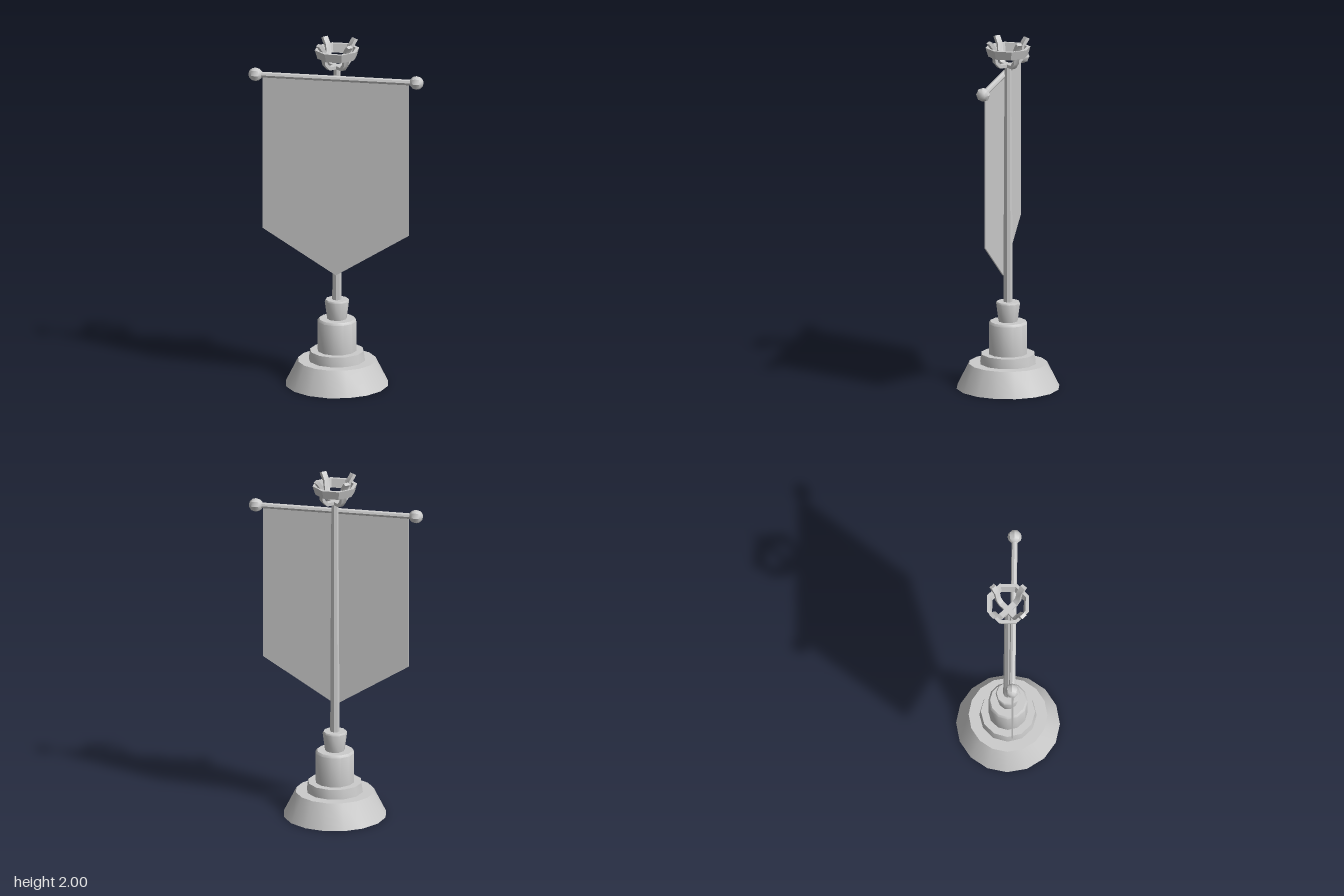
import * as THREE from 'three';
import { toCreasedNormals } from 'three/addons/utils/BufferGeometryUtils.js';

const material = new THREE.MeshStandardMaterial({ color: 0xcccccc, side: THREE.DoubleSide });

export function createModel() {
  const model = new THREE.Group();

  function add(name, geometry, x = 0, y = 0, z = 0, parent = model) {
    const mesh = new THREE.Mesh(toCreasedNormals(geometry, 0.7), material);
    mesh.name = name;
    mesh.position.set(x, y, z);
    parent.add(mesh);
    return mesh;
  }
  const lathe = (points, sides) =>
    new THREE.LatheGeometry(points.map(([r, y]) => new THREE.Vector2(r, y)), sides);

  // Stepped stand: hollow flared foot, then solid tiers
  add('foot', lathe([[0.29, 0], [0.22, 0.14], [0, 0.14]], 16));
  add('lowerTier', lathe([[0.16, 0.14], [0.152, 0.195], [0, 0.195]], 12));
  add('column', lathe([[0.11, 0.195], [0.11, 0.367], [0.1, 0.38], [0, 0.38]], 12));
  add('collar', lathe([[0.055, 0.38], [0.069, 0.483], [0.064, 0.492], [0, 0.492]], 10));

  // Tapered pole
  add('pole', new THREE.CylinderGeometry(0.02, 0.027, 1.37, 8), 0, 1.175, 0);

  // Crossbar with a ball at each end
  const barY = 1.79, barZ = 0.03;
  add('crossbar', new THREE.CylinderGeometry(0.017, 0.017, 0.88, 8).rotateZ(Math.PI / 2), 0, barY, barZ);
  for (const side of [-1, 1]) {
    add(side > 0 ? 'leftFinial' : 'rightFinial',
      new THREE.SphereGeometry(0.04, 8, 6).rotateZ(Math.PI / 2), side * 0.457, barY, barZ);
  }

  // Pointed banner
  const cloth = new THREE.Shape([
    [-0.415, 1.79], [-0.415, 0.895], [0, 0.64], [0.415, 0.895], [0.415, 1.79],
  ].map(([x, y]) => new THREE.Vector2(x, y)));
  add('banner', new THREE.ExtrudeGeometry(cloth, { depth: 0.007, bevelEnabled: false }), 0, 0, 0.027);

  // Crown: flared ring held by four bent prongs
  const crown = new THREE.Group();
  crown.name = 'crown';
  model.add(crown);
  add('crownRing', lathe([
    [0.112, 1.905], [0.127, 1.955], [0.107, 1.955], [0.095, 1.905], [0.112, 1.905],
  ], 8).rotateY(Math.PI / 8), 0, 0, 0, crown);

  const prong = new THREE.Shape([
    [0, 1.842], [0.06, 1.842], [0.09, 1.875], [0.102, 1.95], [0.132, 1.99],
    [0.113, 2], [0.084, 1.96], [0.073, 1.883], [0.052, 1.86], [0, 1.86],
  ].map(([r, y]) => new THREE.Vector2(r, y)));
  const prongGeometry = new THREE.ExtrudeGeometry(prong, { depth: 0.032, bevelEnabled: false })
    .translate(0, 0, -0.016);
  for (let i = 0; i < 4; i++) {
    add('crownProng', prongGeometry, 0, 0, 0, crown).rotation.y = Math.PI / 4 + i * Math.PI / 2;
  }

  return model;
}
